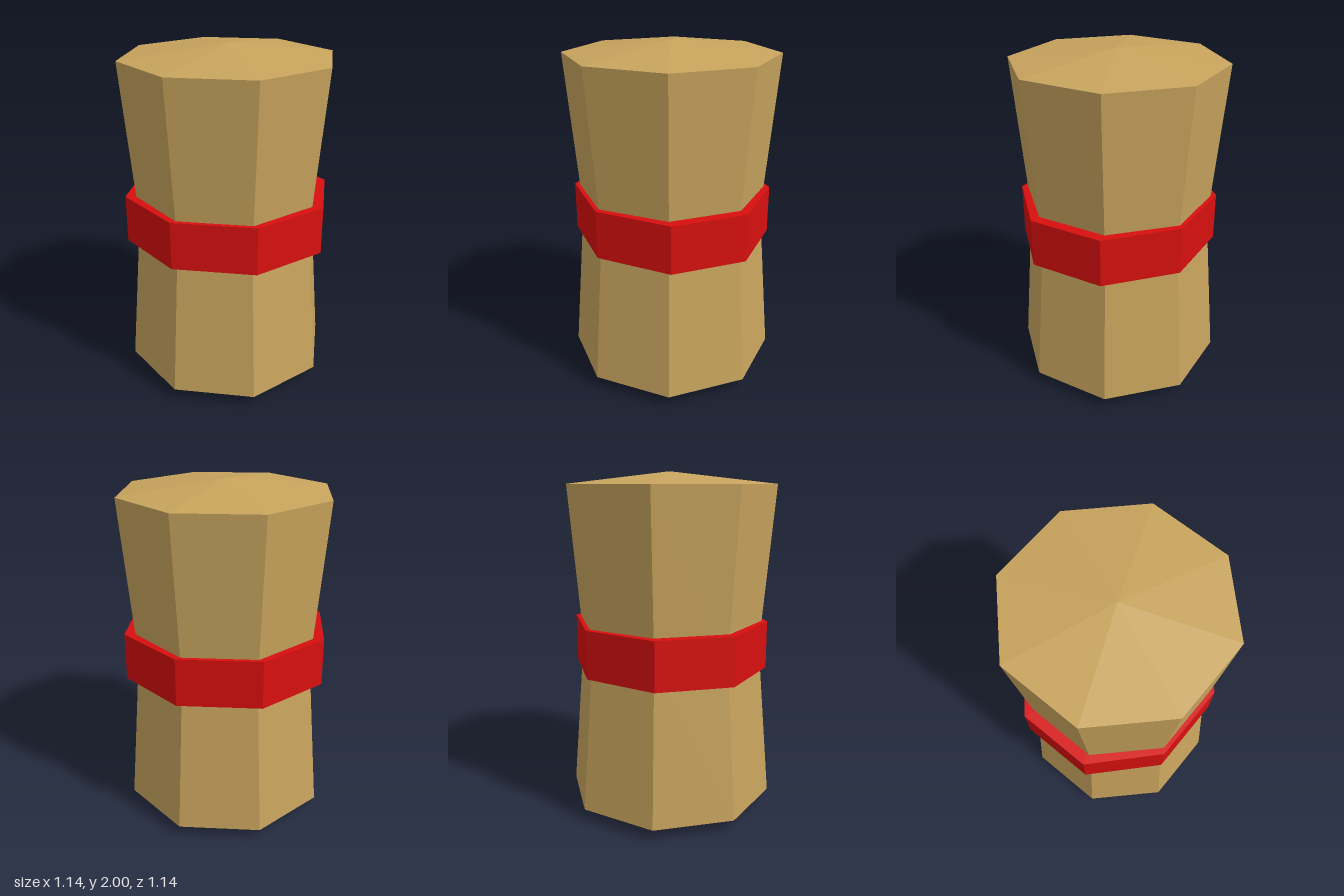
import * as THREE from 'three';

const SIDES = 8;
const TURN = Math.PI / SIDES; // puts a flat face to the front
const CORNER = 1 / Math.cos(TURN); // face distance -> corner radius

// Faceted octagonal solid from [face distance, height] pairs, bottom to top
function octagonal(name, profile, material) {
  const points = profile.map(([d, y]) => new THREE.Vector2(d * CORNER, y));
  const geometry = new THREE.LatheGeometry(points, SIDES, TURN).toNonIndexed();
  geometry.computeVertexNormals();
  const mesh = new THREE.Mesh(geometry, material);
  mesh.name = name;
  return mesh;
}

export function createModel() {
  const straw = new THREE.MeshStandardMaterial({ color: 0xc8a45d });
  straw.name = 'straw';
  const red = new THREE.MeshStandardMaterial({ color: 0xd80f0f });
  red.name = 'red';

  const group = new THREE.Group();
  group.name = 'strawBale';

  // Waisted bundle with shallow pointed ends
  const bundle = octagonal('bundle', [
    [0, 0], [0.57, 0.07], [0.497, 1], [0.57, 1.93], [0, 2],
  ], straw);

  // Tie around the waist, slightly narrower front to back
  const tie = octagonal('tie', [
    [0, 0.863], [0.57, 0.863], [0.57, 1.143], [0, 1.143],
  ], red);
  tie.scale.z = 0.935;

  group.add(bundle, tie);
  return group;
}
